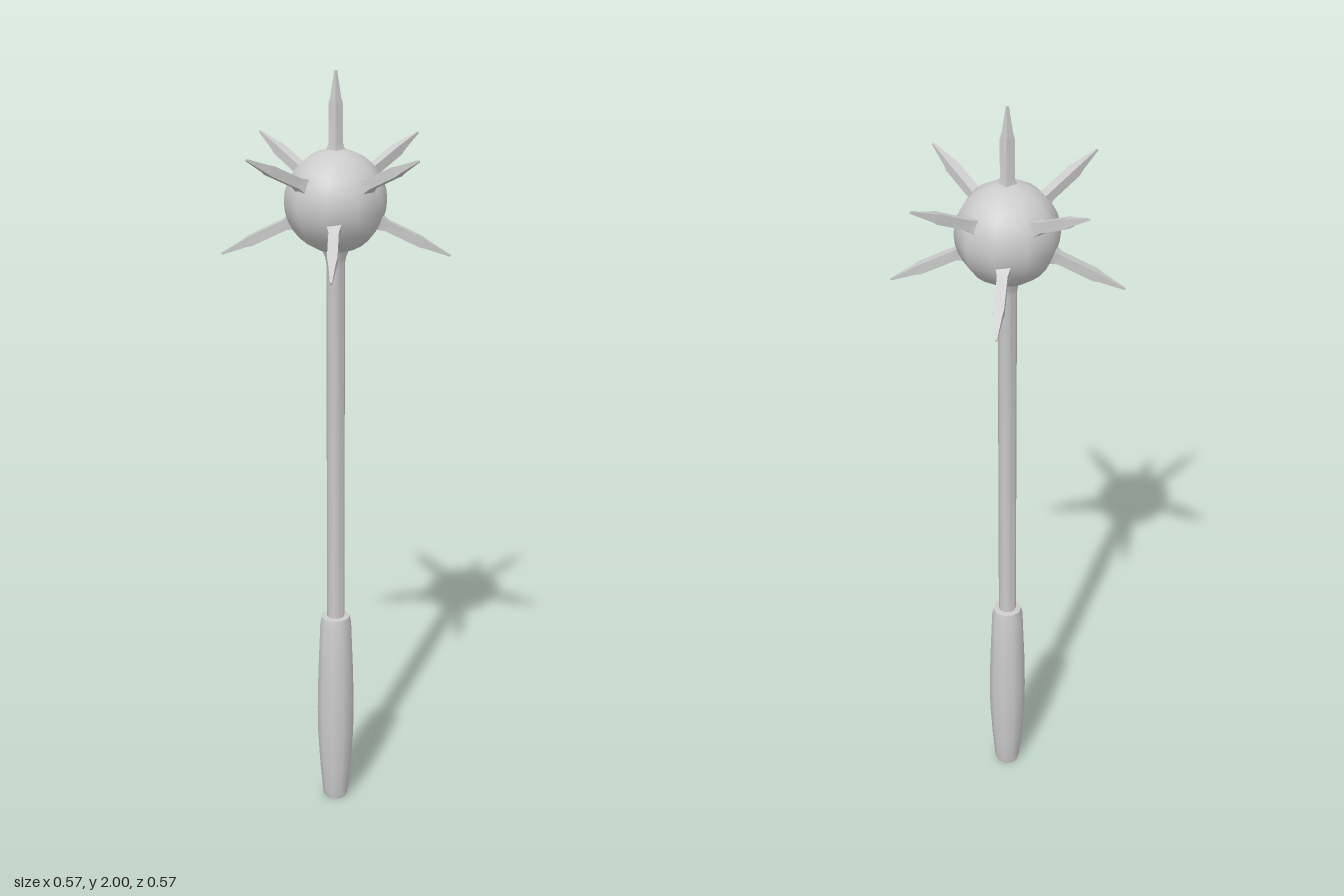
import * as THREE from 'three';
import { toCreasedNormals } from 'three/addons/utils/BufferGeometryUtils.js';

const material = new THREE.MeshStandardMaterial({ color: 0xcccccc });

// Turned part from [radius, y] pairs, bottom to top
function turned(name, profile, sides, turn) {
  const points = profile.map(([r, y]) => new THREE.Vector2(r, y));
  const geometry = new THREE.LatheGeometry(points, sides).rotateY(turn);
  const mesh = new THREE.Mesh(toCreasedNormals(geometry, 0.75), material);
  mesh.name = name;
  return mesh;
}

// Square spike pointing away from the ball centre; half widths along its length
function makeSpike(name, around, elevation) {
  const profile = [
    [0, 0.105], [0.021, 0.105], [0.0185, 0.118], [0.0125, 0.14],
    [0.0125, 0.235], [0.0095, 0.25], [0.0025, 0.314], [0, 0.316],
  ].map(([half, y]) => [half * Math.SQRT2, y]);
  const spike = turned(name, profile, 4, Math.PI / 4);
  spike.rotation.set(0, around, elevation - Math.PI / 2, 'YXZ');
  return spike;
}

export function createModel() {
  const model = new THREE.Group();
  model.name = 'spikedMace';

  // Grip with a swelling middle
  model.add(turned('grip', [
    [0, 0], [0.032, 0], [0.036, 0.02], [0.043, 0.1], [0.049, 0.2],
    [0.05, 0.28], [0.048, 0.38], [0.042, 0.535], [0.038, 0.555], [0, 0.56],
  ], 10, Math.PI / 2));

  // Shaft, flaring where it meets the ball
  model.add(turned('shaft', [
    [0.0235, 0.54], [0.0235, 1.53], [0.026, 1.545], [0.036, 1.57], [0, 1.58],
  ], 10, Math.PI / 2));

  // Head: ball with spikes
  const head = new THREE.Group();
  head.name = 'head';
  head.position.y = 1.687;
  const ball = new THREE.Mesh(new THREE.SphereGeometry(0.128, 10, 16), material);
  ball.name = 'ball';
  head.add(ball, makeSpike('topSpike', 0, Math.PI / 2));

  // Upper ring on the axes, lower ring on the diagonals
  const tilt = THREE.MathUtils.degToRad(25.5);
  for (let i = 0; i < 4; i++) {
    const around = i * Math.PI / 2;
    head.add(makeSpike('upperSpike', around, tilt));
    head.add(makeSpike('lowerSpike', around + Math.PI / 4, -tilt));
  }
  model.add(head);
  return model;
}
